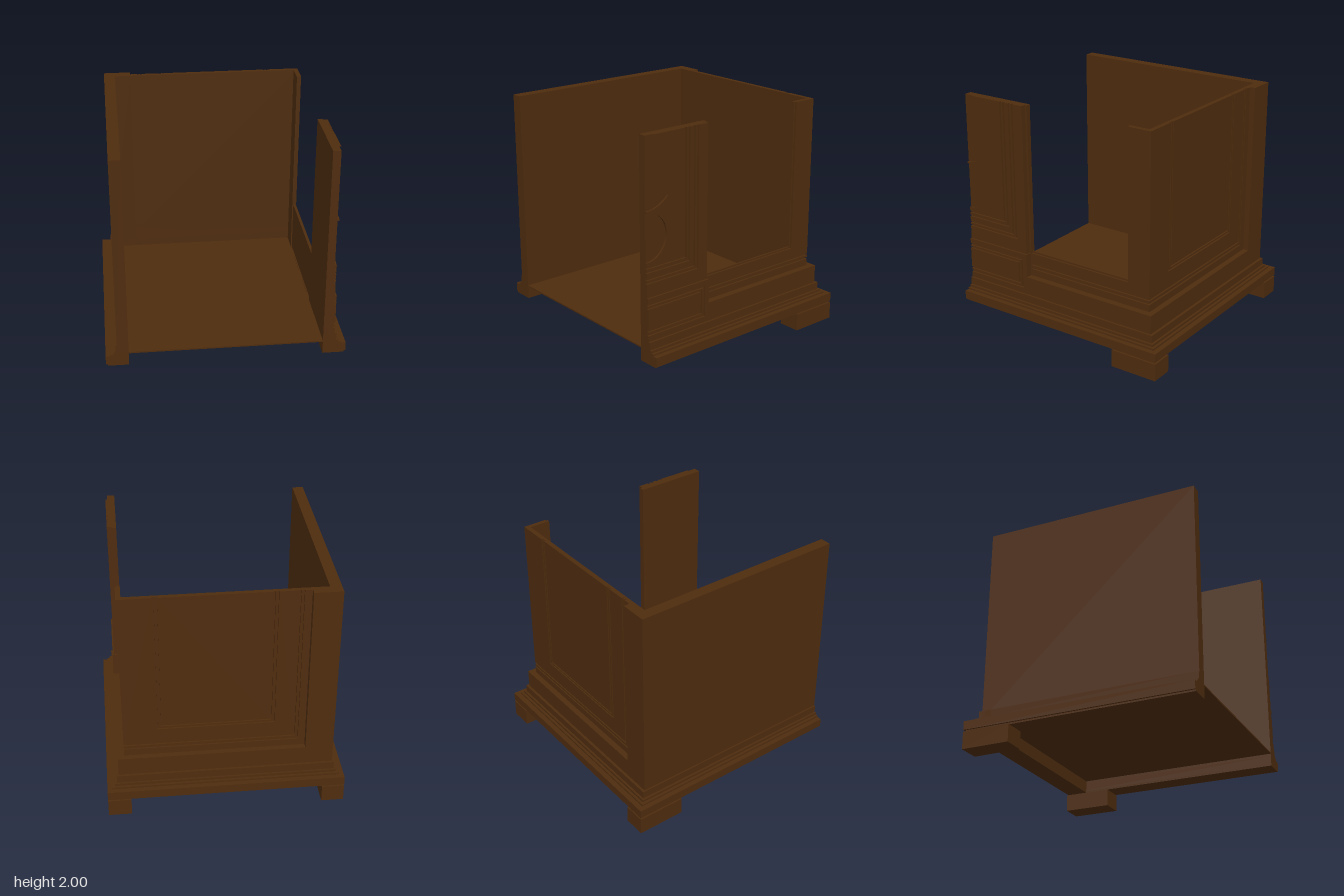
import * as THREE from 'three';

export function createModel() {
  const root = new THREE.Group();
  root.name = 'panelledCabinetBase';
  const wood = new THREE.MeshStandardMaterial({ color: 0x4e2c0e });
  wood.name = 'darkWood';

  const add = (name, geometry) => {
    const mesh = new THREE.Mesh(geometry, wood);
    mesh.name = name;
    root.add(mesh);
    return mesh;
  };
  // Box from its minimum and maximum on each axis
  const box = (name, x0, x1, y0, y1, z0, z1) => {
    const g = new THREE.BoxGeometry(x1 - x0, y1 - y0, z1 - z0);
    g.translate((x0 + x1) / 2, (y0 + y1) / 2, (z0 + z1) / 2);
    return add(name, g);
  };
  const polygon = (pts) => new THREE.Shape(pts.map(([u, v]) => new THREE.Vector2(u, v)));
  const extrude = (shape) =>
    new THREE.ExtrudeGeometry(shape, { depth: 0.015, bevelEnabled: false, curveSegments: 24 });
  // Raised plate on the back wall (u = x) or on the side wall (u = z)
  const backPlate = (name, shape) => add(name, extrude(shape).translate(0, 0, -0.84));
  const sidePlate = (name, shape, x) => add(name, extrude(shape).rotateY(-Math.PI / 2).translate(x, 0, 0));
  const rect = (u0, u1, v0, v1) => polygon([[u0, v0], [u1, v0], [u1, v1], [u0, v1]]);
  // L-shaped band from outer corner (a, va) to inner corner (b, vb), running off at u = uc and the top
  const ell = (a, va, b, vb, uc) =>
    polygon([[a, va], [uc, va], [uc, vb], [b, vb], [b, 2], [a, 2]]);

  // Feet under the back corners
  box('rightFoot', -1, -0.81, 0, 0.15, -1, -0.58);
  box('leftFoot', 0.805, 1, 0, 0.15, -1, -0.58);

  // Stepped plinth on three sides: bottom, top, reach
  const steps = [
    [0.15, 0.165, 0.985], [0.165, 0.24, 1], [0.24, 0.255, 0.958],
    [0.255, 0.275, 0.935], [0.275, 0.34, 0.917],
  ];
  for (const [y0, y1, r] of steps) {
    const inner = y0 < 0.26 ? 0.805 : 0.815;
    const back = y0 < 0.24 ? r : r - 0.004;
    box('plinthRight', -r, -0.81, y0, y1, -back, 1);
    box('plinthLeft', inner, r, y0, y1, -back, 1);
    box('plinthBack', -r, r, y0, y1, -back, -0.8);
  }
  box('floor', -0.81, 0.82, 0.26, 0.272, -0.8, 1);

  // Plain wall and the corner stile behind it
  box('plainWall', -0.905, -0.81, 0.27, 2, -0.89, 1);
  box('cornerStile', -0.905, -0.67, 0.34, 2, -0.89, -0.8);

  // Lower rails
  box('backLowerRail', -0.67, 0.9, 0.34, 0.5, -0.89, -0.8);
  box('sideLowerRail', 0.815, 0.9, 0.34, 0.5, -0.89, 0.38);

  // Back wall with grooved frame and panel
  box('backWallCore', -0.81, 0.83, 0.27, 2, -0.825, -0.8);
  backPlate('backOuterBand', ell(-0.67, 0.5, -0.61, 0.56, 0.845));
  backPlate('backOuterBead', ell(-0.597, 0.575, -0.583, 0.595, 0.845));
  backPlate('backFrame', polygon([
    [-0.57, 0.61], [0.845, 0.61], [0.845, 2], [0.57, 2],
    [0.57, 0.75], [-0.41, 0.75], [-0.41, 2], [-0.57, 2],
  ]));
  backPlate('backPanelBead', polygon([
    [-0.397, 0.763], [0.557, 0.763], [0.557, 2], [0.543, 2],
    [0.543, 0.777], [-0.383, 0.777], [-0.383, 2], [-0.397, 2],
  ]));
  backPlate('backPanel', rect(-0.37, 0.53, 0.79, 2));

  // Side wall with the opening: corner stile and sill
  box('rearStileCore', 0.805, 0.83, 0.27, 2, -0.825, -0.62);
  box('sillCore', 0.815, 0.83, 0.27, 0.72, -0.825, 0.38);
  sidePlate('sillLowerBand', rect(-0.835, 0.38, 0.5, 0.56), 0.845);
  sidePlate('sillBead', rect(-0.835, 0.38, 0.575, 0.595), 0.845);
  sidePlate('sillUpperBand', rect(-0.835, 0.38, 0.61, 0.705), 0.845);
  sidePlate('rearStile', rect(-0.835, -0.635, 0.705, 2), 0.845);

  // Front section of the side wall
  box('frontSectionEdge', 0.805, 0.845, 0.27, 2, 0.36, 0.38);
  box('frontSectionCore', 0.805, 0.87, 0.27, 2, 0.38, 1);
  box('frontSectionLowerCore', 0.805, 0.885, 0.27, 0.705, 0.37, 1);

  // Upper panel: mitred bands separated by narrow grooves
  const bands = [
    [0.38, 0.705, 0.475, 0.82], [0.49, 0.835, 0.51, 0.85],
    [0.525, 0.865, 0.565, 0.91], [0.58, 0.925, 0.6, 0.945],
  ];
  for (const [a, va, b, vb] of bands) sidePlate('upperPanelBand', ell(a, va, b, vb, 1), 0.885);

  // Centre field with two round recesses cut off at the front edge
  const field = new THREE.Shape();
  field.moveTo(0.615, 0.96);
  field.lineTo(1, 0.96);
  field.lineTo(1, 0.995);
  field.absarc(1, 1.195, 0.2, -Math.PI / 2, -Math.PI * 1.5, true);
  field.lineTo(1, 1.41);
  field.absarc(1, 1.71, 0.3, -Math.PI / 2, -4.453, true);
  field.lineTo(0.615, 2);
  sidePlate('upperPanelField', field, 0.885);

  // Lower panel: C-shaped bands around a plain field
  const cBand = (a, y0, y1, b, v0, v1) => polygon([
    [a, y0], [1, y0], [1, v0], [b, v0], [b, v1], [1, v1], [1, y1], [a, y1],
  ]);
  sidePlate('lowerPanelFrame', cBand(0.37, 0.34, 0.705, 0.41, 0.39, 0.66), 0.9);
  sidePlate('lowerPanelBead', cBand(0.427, 0.407, 0.643, 0.443, 0.423, 0.63), 0.9);
  sidePlate('lowerPanelField', rect(0.46, 1, 0.44, 0.615), 0.9);

  return root;
}
